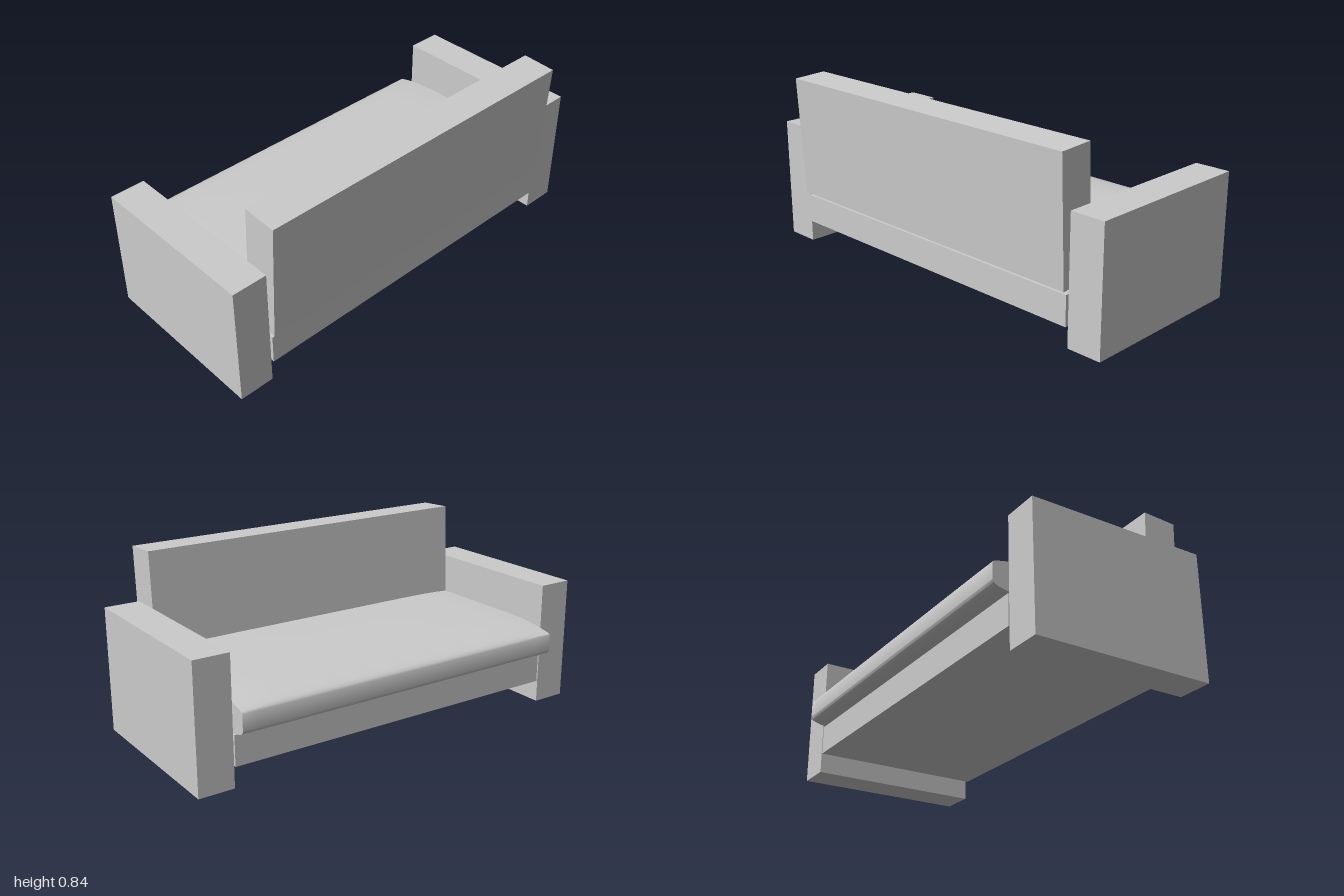
import * as THREE from 'three';
import { toCreasedNormals } from 'three/addons/utils/BufferGeometryUtils.js';

const material = new THREE.MeshStandardMaterial({ color: 0xcccccc });
const HALF = 0.83; // half length between the arms

// Box given by its minimum and maximum corners
function box(name, [x0, y0, z0], [x1, y1, z1]) {
  const mesh = new THREE.Mesh(new THREE.BoxGeometry(x1 - x0, y1 - y0, z1 - z0), material);
  mesh.position.set((x0 + x1) / 2, (y0 + y1) / 2, (z0 + z1) / 2);
  mesh.name = name;
  return mesh;
}

// Side profile swept along z between the arms
function sweep(shape, steps = 1) {
  const geometry = new THREE.ExtrudeGeometry(shape, {
    depth: 2 * HALF, steps, bevelEnabled: false, curveSegments: 10,
  });
  return geometry.translate(0, 0, -HALF);
}

function createCushion() {
  // Rounded nose at the front (-x), nearly flat top
  const s = new THREE.Shape();
  s.moveTo(0.29, 0.25);
  s.lineTo(0.29, 0.403);
  s.lineTo(-0.2, 0.403);
  s.bezierCurveTo(-0.31, 0.402, -0.475, 0.388, -0.475, 0.355);
  s.lineTo(-0.475, 0.285);
  s.bezierCurveTo(-0.475, 0.265, -0.445, 0.257, -0.405, 0.25);
  s.closePath();
  const geometry = sweep(s, 24);

  // Top sinks very slightly toward both ends
  const p = geometry.attributes.position;
  for (let i = 0; i < p.count; i++) {
    const y = p.getY(i);
    if (y > 0.36) p.setY(i, y - 0.008 * Math.min(1, (y - 0.36) / 0.02) * (p.getZ(i) / HALF) ** 8);
  }
  const mesh = new THREE.Mesh(toCreasedNormals(geometry, 0.6), material);
  mesh.name = 'seatCushion';
  return mesh;
}

function createBackrest() {
  // Slab leaning slightly backward
  const s = new THREE.Shape([
    [0.283, 0.268], [0.445, 0.26], [0.472, 0.834], [0.31, 0.842],
  ].map(([x, y]) => new THREE.Vector2(x, y)));
  const mesh = new THREE.Mesh(sweep(s), material);
  mesh.name = 'backrest';
  return mesh;
}

export function createModel() {
  const sofa = new THREE.Group();
  sofa.name = 'sofa';
  sofa.add(
    // Arms, one sitting a touch higher than the other
    box('armFront', [-0.405, 0, 0.836], [0.422, 0.582, 1]),
    box('armRear', [-0.405, 0.012, -1], [0.422, 0.592, -0.836]),
    box('base', [-0.405, 0.105, -HALF], [0.43, 0.243, HALF]),
    createCushion(),
    createBackrest(),
  );
  return sofa;
}
